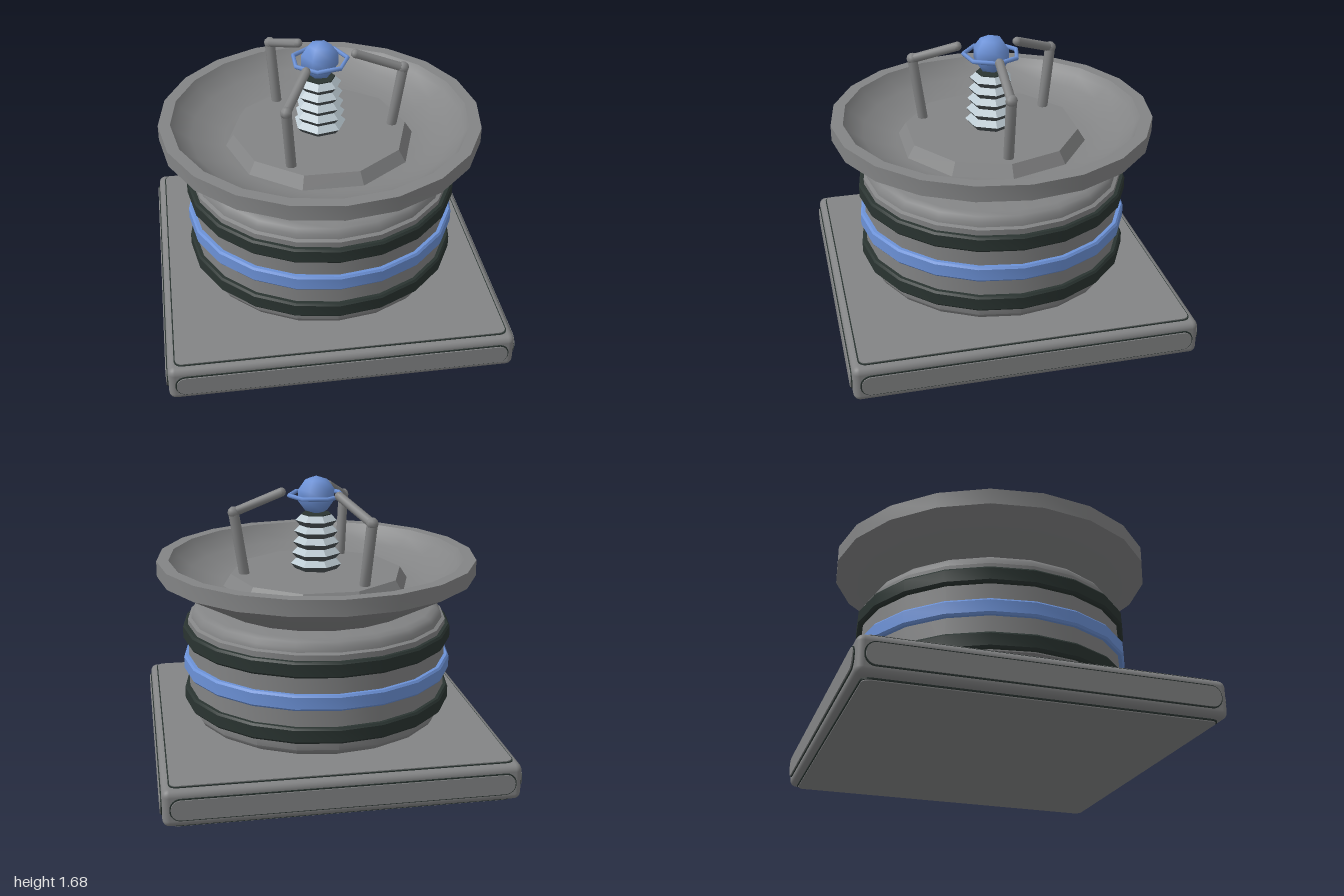
import * as THREE from 'three';
import { toCreasedNormals } from 'three/addons/utils/BufferGeometryUtils.js';
import { RoundedBoxGeometry } from 'three/addons/geometries/RoundedBoxGeometry.js';

const material = (name, color) => {
  const m = new THREE.MeshStandardMaterial({ color });
  m.name = name;
  return m;
};

export function createModel() {
  const model = new THREE.Group();
  model.name = 'dishMachine';
  const grey = material('metalGrey', 0x838485);
  const dark = material('darkRubber', 0x2a3431);
  const slate = material('slate', 0x4c5458);
  const blue = material('blue', 0x6c92d8);
  const silver = material('silver', 0xbccad2);

  const add = (name, geometry, mat, parent = model) => {
    const mesh = new THREE.Mesh(geometry, mat);
    mesh.name = name;
    parent.add(mesh);
    return mesh;
  };
  // Profile of [radius, height] pairs turned around the y axis
  const turned = (profile, sides = 20) => toCreasedNormals(
    new THREE.LatheGeometry(profile.map(([r, y]) => new THREE.Vector2(r, y)), sides), 0.6);
  // Rounded rectangular plate facing +z
  const plate = (w, h, r, depth) => {
    const x = w / 2, y = h / 2, s = new THREE.Shape();
    s.absarc(x - r, y - r, r, 0, Math.PI / 2);
    s.absarc(-x + r, y - r, r, Math.PI / 2, Math.PI);
    s.absarc(-x + r, -y + r, r, Math.PI, Math.PI * 1.5);
    s.absarc(x - r, -y + r, r, Math.PI * 1.5, Math.PI * 2);
    return new THREE.ExtrudeGeometry(s, { depth, bevelEnabled: false, curveSegments: 4 });
  };

  // Square base with a raised panel on each face, each with a thin dark edge
  add('base', new RoundedBoxGeometry(1.976, 0.214, 1.976, 3, 0.04), grey).position.y = 0.12;
  for (let i = 0; i < 4; i++) {
    const side = new THREE.Group();
    side.name = 'basePanel';
    side.rotation.y = i * Math.PI / 2;
    add('panelEdge', plate(1.9, 0.128, 0.06, 0.008), dark, side).position.set(0, 0.12, 0.986);
    add('panelFace', plate(1.886, 0.114, 0.053, 0.009), grey, side).position.set(0, 0.12, 0.991);
    model.add(side);
  }
  for (const [name, turn, y, dir] of [['baseTop', -1, 0.224, 1], ['baseBottom', 1, 0.013, -1]]) {
    const edge = add(name + 'Edge', plate(1.9, 1.9, 0.045, 0.008), dark);
    const face = add(name + 'Face', plate(1.886, 1.886, 0.04, 0.009), grey);
    edge.rotation.x = face.rotation.x = turn * Math.PI / 2;
    edge.position.y = y;
    face.position.y = y + dir * 0.004;
  }

  // Drum with stepped, rounded shoulders
  add('drum', turned([
    [0, 0.235], [0.69, 0.235], [0.735, 0.26], [0.75, 0.285], [0.75, 0.325], [0.77, 0.335],
    [0.77, 0.85], [0.75, 0.858], [0.745, 0.885], [0.725, 0.91], [0.69, 0.922], [0, 0.922],
  ]), grey);
  // Broad bands around the drum
  for (const [y, mat] of [[0.388, dark], [0.582, blue], [0.772, dark]]) {
    add('drumBand', turned([
      [0.76, y - 0.046], [0.79, y - 0.046], [0.8, y - 0.034],
      [0.8, y + 0.034], [0.79, y + 0.046], [0.76, y + 0.046],
    ]), mat);
  }

  // Shallow dish with a thick rim and a curved bowl
  add('dish', turned([
    [0, 0.92], [0.57, 0.92], [0.94, 1.12], [0.94, 1.212], [0.87, 1.212],
    [0.84, 1.168], [0.76, 1.112], [0.66, 1.068], [0.57, 1.045], [0, 1.045],
  ]), grey);

  // Ten-sided platform
  const platform = add('platform', toCreasedNormals(
    new THREE.CylinderGeometry(0.51, 0.555, 0.07, 10), 0.3), grey);
  platform.position.y = 1.08;
  platform.rotation.y = Math.PI / 2;

  // Ribbed post: light upper and dark lower face on every rib
  for (let i = 0; i < 5; i++) {
    const y = 1.165 + i * 0.065, r = 0.153 - i * 0.007;
    add('ribTop', turned([[r, y], [r - 0.035, y + 0.0325]], 7).rotateY(Math.PI / 2), silver);
    add('ribUnderside', turned([[r - 0.028, y - 0.0325], [r, y]], 7).rotateY(Math.PI / 2), slate);
  }
  add('postCap', new THREE.CylinderGeometry(0.088, 0.09, 0.02, 7).rotateY(Math.PI / 2), dark).position.y = 1.452;

  // Ball and its ring
  add('ball', new THREE.SphereGeometry(0.112, 6, 5), blue).position.y = 1.57;
  const ring = add('ballRing', new THREE.TorusGeometry(0.16, 0.013, 6, 7), blue);
  ring.rotation.x = Math.PI / 2;
  ring.position.y = 1.57;

  // Three bent arms reaching towards the ball
  const rod = (name, a, b, radius, parent) => {
    const dir = b.clone().sub(a);
    const mesh = add(name, toCreasedNormals(
      new THREE.CylinderGeometry(radius, radius, dir.length(), 8), 0.9), grey, parent);
    mesh.position.copy(a).add(b).multiplyScalar(0.5);
    mesh.quaternion.setFromUnitVectors(new THREE.Vector3(0, 1, 0), dir.normalize());
  };
  for (let i = 0; i < 3; i++) {
    const arm = new THREE.Group();
    arm.name = 'arm';
    arm.rotation.y = i * Math.PI * 2 / 3;
    const foot = new THREE.Vector3(0.428, 1.1, 0);
    const elbow = new THREE.Vector3(0.485, 1.483, 0);
    const tip = new THREE.Vector3(0.205, 1.592, 0);
    rod('lowerArm', foot, elbow, 0.031, arm);
    rod('upperArm', elbow, tip, 0.027, arm);
    add('elbow', new THREE.SphereGeometry(0.035, 8, 6), grey, arm).position.copy(elbow);
    add('armTip', new THREE.SphereGeometry(0.027, 8, 6), grey, arm).position.copy(tip);
    model.add(arm);
  }
  return model;
}
